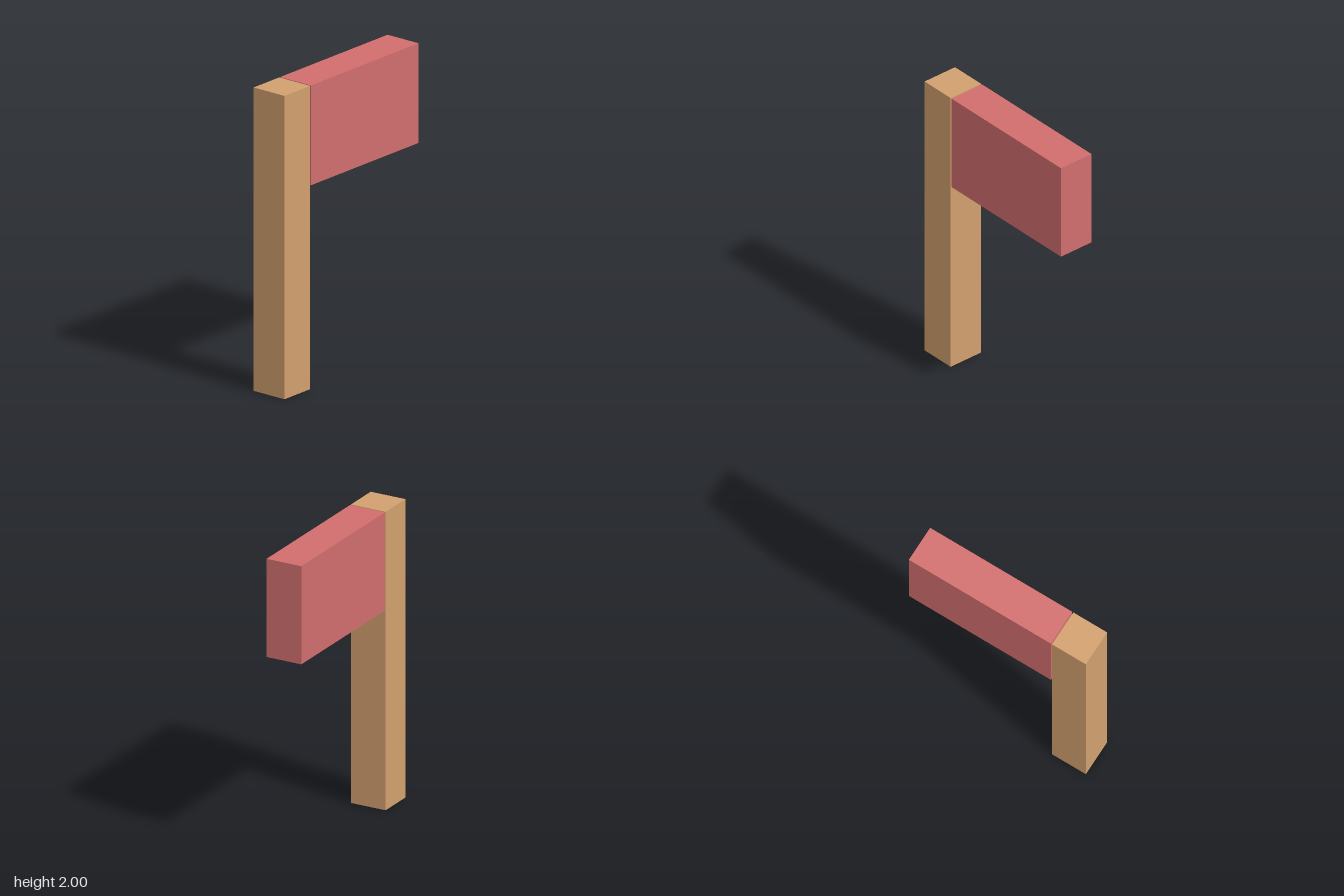
import * as THREE from 'three';

// Box given by its x and y extents, centred on z = 0
function slab(name, color, x0, x1, y0, y1, depth) {
  const mesh = new THREE.Mesh(
    new THREE.BoxGeometry(x1 - x0, y1 - y0, depth),
    new THREE.MeshStandardMaterial({ color })
  );
  mesh.position.set((x0 + x1) / 2, (y0 + y1) / 2, 0);
  mesh.name = name;
  return mesh;
}

export function createModel() {
  const model = new THREE.Group();
  model.name = 'flagOnPole';
  const depth = 0.25;

  // Square wooden pole
  model.add(slab('pole', 0xd2a06e, -0.652, -0.403, 0, 2, depth));
  // Thick flag beside the pole top, with a narrow gap
  model.add(slab('flag', 0xd26e6e, -0.395, 0.65, 1.342, 2, depth));

  return model;
}
